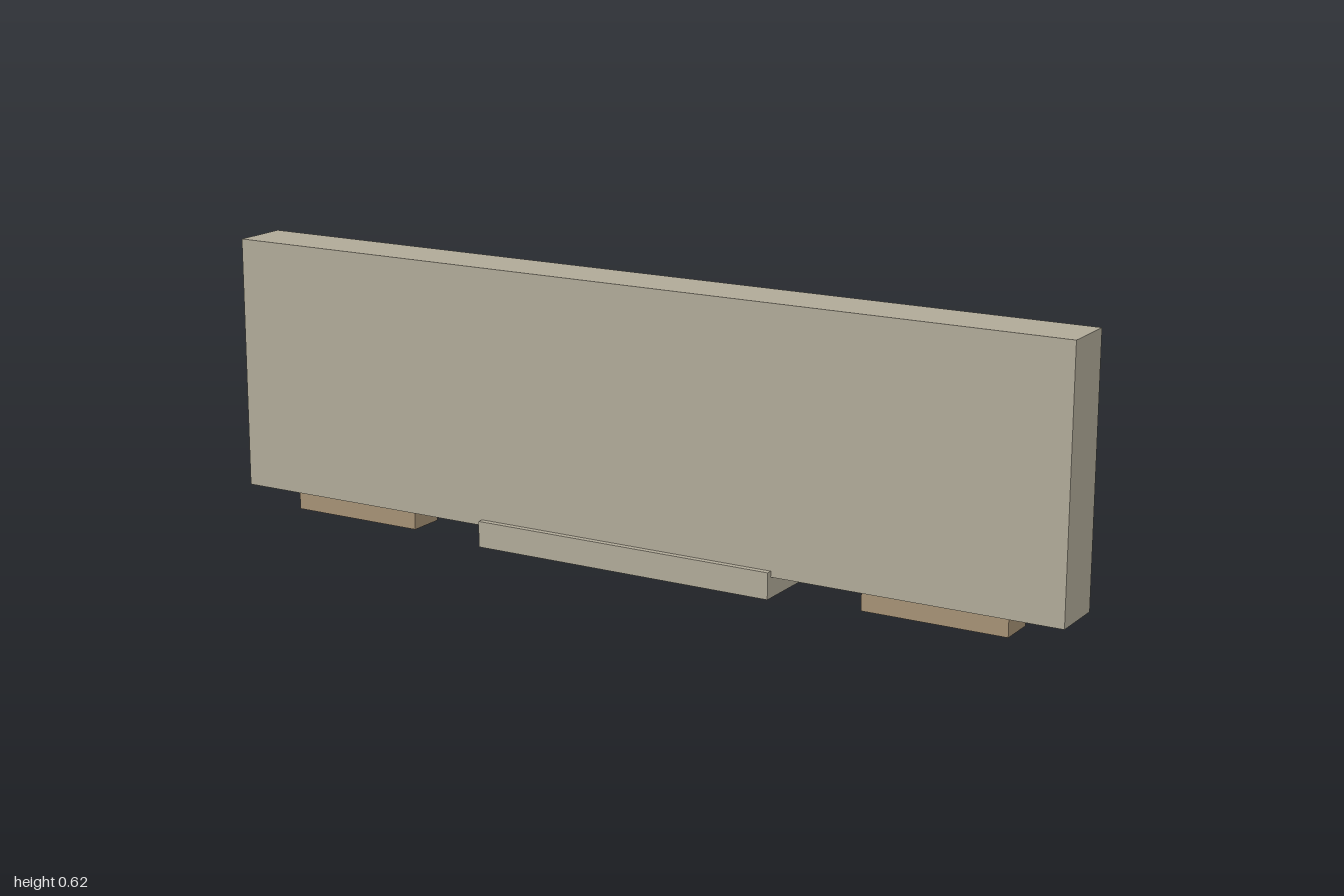
import * as THREE from 'three';

export function createModel() {
  const model = new THREE.Group();
  const stone = new THREE.MeshStandardMaterial({ color: 0xb0aa98 });
  stone.name = 'stone';
  const tan = new THREE.MeshStandardMaterial({ color: 0xa59175 });
  tan.name = 'tan';

  // Box spanning y0..y1, centred on x and on z = 0
  const addBox = (name, material, x, y0, y1, width, depth) => {
    const mesh = new THREE.Mesh(new THREE.BoxGeometry(width, y1 - y0, depth), material);
    mesh.name = name;
    mesh.position.set(x, (y0 + y1) / 2, 0);
    model.add(mesh);
  };

  // Upright slab
  addBox('panel', stone, 0, 0.045, 0.617, 2, 0.128);

  // Central plinth, gripping the lower edge of the slab
  addBox('plinth', stone, 0, 0, 0.058, 0.714, 0.156);

  // Mirrored feet
  addBox('leftFoot', tan, 0.714, 0, 0.045, 0.322, 0.085);
  addBox('rightFoot', tan, -0.714, 0, 0.045, 0.322, 0.085);

  return model;
}
